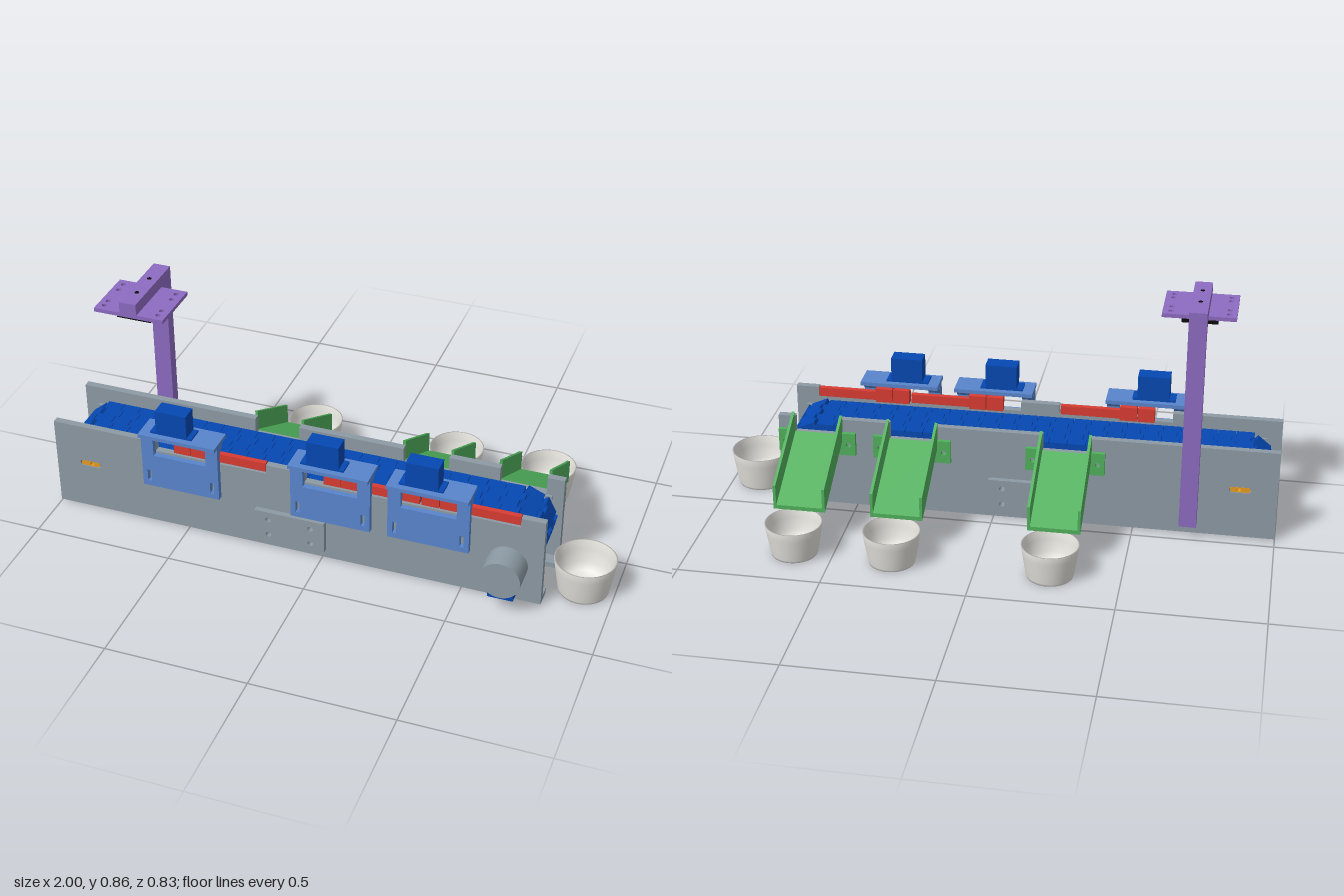
import * as THREE from 'three';

const mat = (name, color, side = THREE.FrontSide) => {
  const m = new THREE.MeshStandardMaterial({ color, side });
  m.name = name;
  return m;
};

export function createModel() {
  const grey = mat('frame grey', 0x8c9aa4);
  const blue = mat('deep blue', 0x0548b2);
  const lightBlue = mat('bracket blue', 0x5985cc);
  const red = mat('pusher red', 0xd83c32);
  const green = mat('chute green', 0x50b05c);
  const purple = mat('mast purple', 0x8d6bc0);
  const orange = mat('bearing orange', 0xf5a524);
  const black = mat('sensor black', 0x0a0a0a);
  const cream = mat('bowl off-white', 0xe6e4de, THREE.DoubleSide);

  const model = new THREE.Group();
  model.name = 'sortingConveyor';

  const add = (name, geo, material, parent = model) => {
    const m = new THREE.Mesh(geo, material);
    m.name = name;
    parent.add(m);
    return m;
  };
  // Box given by its extents on each axis
  const box = (name, material, [x0, x1], [y0, y1], [z0, z1], parent) => {
    const m = add(name, new THREE.BoxGeometry(x1 - x0, y1 - y0, z1 - z0), material, parent);
    m.position.set((x0 + x1) / 2, (y0 + y1) / 2, (z0 + z1) / 2);
    return m;
  };
  const poly = pts => new THREE.Shape(pts.map(p => new THREE.Vector2(...p)));
  const rect = (x0, x1, y0, y1) => poly([[x0, y0], [x1, y0], [x1, y1], [x0, y1]]);
  const circle = (x, y, r) => new THREE.Path().absarc(x, y, r, 0, Math.PI * 2, true);
  const disc = (x, y, r) => new THREE.Shape().absarc(x, y, r, 0, Math.PI * 2, false);
  const stadium = (x0, x1, y, r) => {
    const s = new THREE.Shape();
    s.absarc(x1, y, r, -Math.PI / 2, Math.PI / 2, false);
    s.absarc(x0, y, r, Math.PI / 2, Math.PI * 1.5, false);
    return s;
  };
  const extrude = (shape, holes, depth) => {
    shape.holes.push(...holes);
    return new THREE.ExtrudeGeometry(shape, { depth, bevelEnabled: false, curveSegments: 16 });
  };
  // Upright plate in the xy plane, from z0 to z1
  const plate = (name, material, shape, holes, z0, z1, parent) => {
    const m = add(name, extrude(shape, holes, z1 - z0), material, parent);
    m.position.z = z0;
    return m;
  };
  // Horizontal plate drawn as (x, z), from y0 to y1
  const flat = (name, material, [x0, x1], [z0, z1], y0, y1, holes, parent) => {
    const geo = extrude(rect(x0, x1, -z1, -z0), holes.map(([x, z, r]) => circle(x, -z, r)), y1 - y0);
    const m = add(name, geo.rotateX(-Math.PI / 2), material, parent);
    m.position.y = y0;
    return m;
  };
  // Side profile drawn as (z, y), from x0 to x1
  const profile = (name, material, pts, x0, x1, parent) => {
    const m = add(name, extrude(poly(pts), [], x1 - x0).rotateY(-Math.PI / 2), material, parent);
    m.position.x = x1;
    return m;
  };

  const brackets = [-0.655, -0.105, 0.242];
  const chutes = [-0.257, 0.291, 0.636];
  const rollers = [-0.865, 0.65];
  const axleY = 0.19;
  const wallEnds = [-1, 0.778];

  // Side walls, notched along the top
  const wallShape = notches => {
    const pts = [[wallEnds[0], 0.006], [wallEnds[1], 0.006], [wallEnds[1], 0.343]];
    for (const [a, b, y] of [...notches].reverse()) pts.push([b, 0.343], [b, y], [a, y], [a, 0.343]);
    pts.push([wallEnds[0], 0.343]);
    return poly(pts);
  };
  const boltHoles = () => [-0.19, -0.035].flatMap(x => [0.066, 0.128].map(y => circle(x, y, 0.01)));
  const wallHoles = () => [stadium(-0.898, -0.842, axleY, 0.011), ...boltHoles()];
  plate('frontWall', grey, wallShape([[-0.61, -0.2, 0.308], [-0.06, 0.695, 0.308]]), wallHoles(), 0.293, 0.318);
  plate('backWall', grey, wallShape(chutes.map(x => [x - 0.082, x + 0.082, 0.28])), wallHoles(), 0.044, 0.069);
  plate('frontJoinPlate', grey, rect(-0.24, 0.015, 0.04, 0.16), boltHoles(), 0.318, 0.338);
  plate('backJoinPlate', grey, rect(-0.24, 0.015, 0.04, 0.16), boltHoles(), 0.024, 0.044);

  // Bottom flanges, cross bars and slider bed with full-length rails
  const flangeHoles = z => [-0.92, -0.65, -0.38, -0.11, 0.16, 0.43, 0.7].map(x => [x, z, 0.01]);
  flat('frontFlange', grey, wallEnds, [0.25, 0.293], 0.006, 0.026, flangeHoles(0.27));
  flat('backFlange', grey, wallEnds, [0.069, 0.113], 0.006, 0.026, flangeHoles(0.093));
  for (const x of [-0.93, -0.47, 0, 0.36, 0.7]) box('crossBar', grey, [x - 0.025, x + 0.025], [0.026, 0.046], [0.069, 0.293]);
  box('sliderBed', grey, [-0.74, 0.53], [0.26, 0.276], [0.069, 0.293]);
  for (const z of [0.069, 0.282]) box('sideRail', grey, [-0.95, 0.74], [0.26, 0.276], [z, z + 0.01]);

  // Belt: solid core covered by hinged links
  plate('beltCore', blue, stadium(...rollers, axleY, 0.098), [stadium(...rollers, axleY, 0.086)], 0.08, 0.28);
  const R = 0.095;
  const run = rollers[1] - rollers[0];
  const arc = Math.PI * R;
  const count = 56, pitch = (2 * run + 2 * arc) / count, fingers = 5, width = 0.202;
  const near = [], far = [];
  for (let i = 0; i < fingers; i++) {
    const off = i % 2 ? 0.007 : -0.007;
    for (const k of [i, i + 1]) {
      const w = -width / 2 + (k * width) / fingers;
      near.push([-pitch / 2 + off + 0.001, w]);
      far.push([pitch / 2 + off - 0.001, w]);
    }
  }
  const linkGeo = extrude(poly([...far, ...near.reverse()]), [], 0.0145).rotateX(-Math.PI / 2);
  const belt = new THREE.Group();
  belt.name = 'beltLinks';
  model.add(belt);
  for (let i = 0; i < count; i++) {
    let s = i * pitch, x, y, a;
    if (s < run) [x, y, a] = [rollers[0] + s, axleY + R, 0];
    else if ((s -= run) < arc) {
      a = s / R;
      [x, y] = [rollers[1] + R * Math.sin(a), axleY + R * Math.cos(a)];
    } else if ((s -= arc) < run) [x, y, a] = [rollers[1] - s, axleY - R, Math.PI];
    else {
      a = Math.PI + (s - run) / R;
      [x, y] = [rollers[0] + R * Math.sin(a), axleY + R * Math.cos(a)];
    }
    const link = add('beltLink', linkGeo, blue, belt);
    link.position.set(x, y, 0.18);
    link.rotation.z = -a;
  }

  // Rollers with hollow axles, and slotted bearing blocks in the walls
  for (const x of rollers) {
    plate('roller', blue, disc(x, axleY, 0.085), [circle(x, axleY, 0.02)], 0.09, 0.27);
    plate('axle', orange, disc(x, axleY, 0.026), [circle(x, axleY, 0.009)], 0.081, 0.292);
  }
  for (const z of [0.046, 0.293]) {
    plate('bearingBlock', orange, stadium(-0.896, -0.844, axleY, 0.0095), [circle(rollers[0], axleY, 0.0075)], z, z + 0.023);
  }

  // Drive motor and its terminal box
  const motor = add('motor', new THREE.CylinderGeometry(0.07, 0.07, 0.097, 40).rotateX(Math.PI / 2), grey);
  motor.position.set(0.657, 0.147, 0.3665);
  box('motorTerminal', blue, [0.615, 0.703], [0.065, 0.093], [0.328, 0.405]);

  // Pusher stations: bracket, servo and red arm
  for (const x of brackets) {
    const g = new THREE.Group();
    g.name = 'pusherStation';
    g.position.x = x;
    model.add(g);
    const frame = poly([[0, 0.17], [0.285, 0.17], [0.285, 0.38], [0.24, 0.38], [0.24, 0.3], [0.045, 0.3], [0.045, 0.38], [0, 0.38]]);
    const slots = [0.025, 0.26].map(sx => rect(sx - 0.007, sx + 0.007, 0.19, 0.235));
    plate('bracketPlate', lightBlue, frame, slots, 0.318, 0.338, g);
    box('bracketShelf', lightBlue, [0, 0.285], [0.38, 0.394], [0.257, 0.36], g);
    box('bracketLip', lightBlue, [0.045, 0.24], [0.366, 0.38], [0.318, 0.338], g);
    for (const gx of [0, 0.24]) {
      profile('bracketGusset', lightBlue, [[0.318, 0.343], [0.318, 0.38], [0.293, 0.38], [0.293, 0.372]], gx, gx + 0.045, g);
    }
    box('servoFlange', blue, [0.038, 0.192], [0.394, 0.401], [0.278, 0.338], g);
    box('servo', blue, [0.06, 0.174], [0.401, 0.487], [0.278, 0.338], g);
    box('servoShaft', blue, [0.165, 0.178], [0.36, 0.38], [0.295, 0.308], g);
    box('pusherHub', red, [0.11, 0.17], [0.308, 0.36], [0.278, 0.309], g);
    box('pusherHub', red, [0.173, 0.235], [0.308, 0.36], [0.278, 0.309], g);
    box('pusherArm', red, [0.235, 0.45], [0.309, 0.342], [0.29, 0.309], g);
  }

  // Chutes and mounting tabs
  for (const x of chutes) {
    const g = new THREE.Group();
    g.name = 'chute';
    g.position.x = x;
    model.add(g);
    profile('chuteFloor', green, [[0.044, 0.27], [0.044, 0.285], [-0.237, 0.135], [-0.237, 0.12]], -0.09, 0.09, g);
    for (const s of [-1, 1]) {
      profile('chuteSide', green, [[0.044, 0.27], [0.044, 0.36], [-0.237, 0.21], [-0.237, 0.12]], s * 0.087 - 0.005, s * 0.087 + 0.005, g);
      const a = Math.min(s * 0.09, s * 0.14), b = Math.max(s * 0.09, s * 0.14);
      plate('chuteTab', green, rect(a, b, 0.21, 0.295), [circle(s * 0.115, 0.25, 0.009)], 0.029, 0.044, g);
    }
    box('chuteBackStrip', green, [-0.09, 0.09], [0.21, 0.275], [0.029, 0.044], g);
  }

  // Bowls with a thin lip and a rounded inside
  const bowl = (x, z, r, h) => {
    const pts = [[0, 0.004], [0.7, 0.004], [0.72, 0], [0.8, 0], [0.82, 0.008], [0.89, h * 0.4], [0.955, h * 0.75], [1, h],
      [0.95, h], [0.91, h * 0.72], [0.83, h * 0.36], [0.68, h * 0.16], [0.4, h * 0.1], [0, h * 0.09]];
    const m = add('bowl', new THREE.LatheGeometry(pts.map(([k, y]) => new THREE.Vector2(k * r, y)), 40), cream);
    m.position.set(x, 0, z);
  };
  bowl(0.892, 0.18, 0.107, 0.129);
  for (const x of chutes) bowl(x, -0.314, 0.1, 0.118);

  // Camera mast
  profile('mast', purple, [[0.004, 0.048], [0.044, 0.048], [0.044, 0.76], [0.075, 0.82], [0.283, 0.82], [0.283, 0.861], [0.004, 0.861]], -0.726, -0.665);
  const mountHoles = [-0.795, -0.598].flatMap(x => [0.107, 0.145, 0.225, 0.255].map(z => [x, z, 0.009]));
  flat('sensorPlate', purple, [-0.821, -0.569], [0.08, 0.283], 0.806, 0.82, mountHoles);
  for (const z of [0.105, 0.205]) {
    const screw = add('mastScrew', new THREE.CylinderGeometry(0.008, 0.008, 0.002, 16), black);
    screw.position.set(-0.696, 0.8605, z);
  }
  box('sensorBody', black, [-0.758, -0.634], [0.775, 0.806], [0.12, 0.243]);
  const lens = add('sensorLens', new THREE.CylinderGeometry(0.021, 0.021, 0.022, 24), black);
  lens.position.set(-0.696, 0.765, 0.182);

  return model;
}
